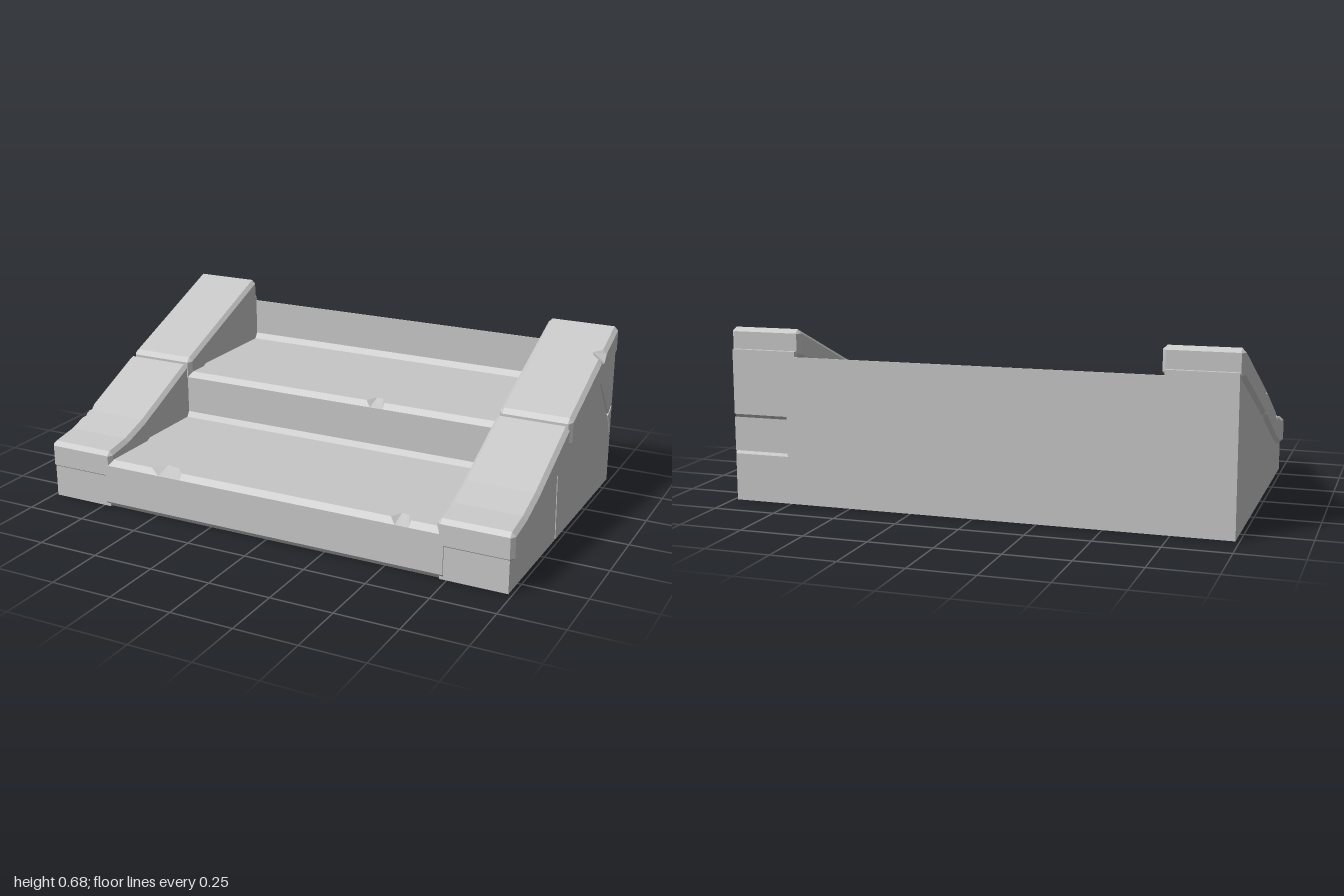
import * as THREE from 'three';

const stone = new THREE.MeshStandardMaterial({ color: 0xc6c6c6 });
stone.name = 'greyStone';

function addMesh(parent, name, geometry) {
  const mesh = new THREE.Mesh(geometry, stone);
  mesh.name = name;
  parent.add(mesh);
  return mesh;
}

// Skin counter-clockwise [u, v] rings placed at rising w, closing both ends.
function loft(sections) {
  const pos = [];
  const put = (s, i) => pos.push(s.ring[i][0], s.ring[i][1], s.w);
  const n = sections[0].ring.length;
  for (let k = 0; k < sections.length - 1; k++) {
    const a = sections[k], b = sections[k + 1];
    for (let i = 0; i < n; i++) {
      const j = (i + 1) % n;
      put(a, i); put(a, j); put(b, j);
      put(a, i); put(b, j); put(b, i);
    }
  }
  const first = sections[0], last = sections[sections.length - 1];
  for (const [s, flip] of [[first, true], [last, false]]) {
    const contour = s.ring.map(([u, v]) => new THREE.Vector2(u, v));
    for (const [a, b, c] of THREE.ShapeUtils.triangulateShape(contour, [])) {
      put(s, a); put(s, flip ? c : b); put(s, flip ? b : c);
    }
  }
  const geo = new THREE.BufferGeometry();
  geo.setAttribute('position', new THREE.Float32BufferAttribute(pos, 3));
  geo.computeVertexNormals();
  return geo;
}

// Side outline of [z, y] points extruded across x.
function sidePlate(points, x0, x1) {
  const shape = new THREE.Shape(points.map(([z, y]) => new THREE.Vector2(-z, y)));
  const geo = new THREE.ExtrudeGeometry(shape, { depth: x1 - x0, bevelEnabled: false });
  return geo.rotateY(Math.PI / 2).translate(x0, 0, 0);
}

// Stair cross-section; d1 and d2 widen the worn lips of the lower and upper step.
const stairRing = (d1, d2) => [
  [-0.585, 0], [0.6, 0], [0.6, 0.58], [0.597, 0.58], [0.597, 0.424], [0.58, 0.4],
  [0.02 + d2, 0.4], [0, 0.378], [0, 0.222], [-0.015, 0.2],
  [-0.58 + d1, 0.2], [-0.6, 0.178], [-0.6, 0.02],
];

function stairGeometry() {
  const sections = [{ w: -0.735, ring: stairRing(0, 0) }];
  const chips = [[-0.52, -0.38, 0.05, 0], [0.13, 0.21, 0, 0.05], [0.52, 0.6, 0.045, 0]];
  for (const [a, b, d1, d2] of chips) {
    const edge = (b - a) * 0.3;
    sections.push(
      { w: a, ring: stairRing(0, 0) },
      { w: a + edge, ring: stairRing(d1, d2) },
      { w: b - edge, ring: stairRing(d1 * 0.85, d2 * 0.85) },
      { w: b, ring: stairRing(0, 0) },
    );
  }
  sections.push({ w: 0.735, ring: stairRing(0, 0) });
  return loft(sections).rotateY(Math.PI / 2);
}

// Chamfered coping section between yb and yt; chip bites the outer top edge.
function copingRing(side, yb, yt, inset, chip) {
  const c = inset ? 0.002 : 0.016;
  const i = inset ? 0.014 : 0;
  const xa = (side > 0 ? 0.705 : -1) + i;
  const xb = (side > 0 ? 1 : -0.705) - i;
  const l = side < 0 ? chip : 0, r = side > 0 ? chip : 0;
  return [
    [xa + c, yb], [xb - c, yb], [xb, yb + c], [xb, yt - c - r * 0.6],
    [xb - c - r, yt], [xa + c + l, yt], [xa, yt - c - l * 0.6], [xa, yb + c],
  ];
}

// Stations are [z, bottom, top, inset]; chip is [zStart, zEnd, depth].
function copingGeometry(side, stations, chip) {
  const list = stations.map((s) => [...s, 0]);
  if (chip) {
    const [z0, z1, depth] = chip;
    for (const [t, d] of [[0, 0], [0.35, depth], [0.65, depth * 0.7], [1, 0]]) {
      const z = z0 + (z1 - z0) * t;
      const k = stations.findIndex((s, i) => i > 0 && s[0] >= z);
      const a = stations[k - 1], b = stations[k];
      const f = (z - a[0]) / (b[0] - a[0]);
      list.push([z, a[1] + (b[1] - a[1]) * f, a[2] + (b[2] - a[2]) * f, 0, d]);
    }
    list.sort((a, b) => a[0] - b[0]);
  }
  return loft(list.map(([z, yb, yt, inset, d]) => (
    { w: z, ring: copingRing(side, yb, yt, inset, d) })));
}

const upperCoping = [
  [-0.58, 0.588, 0.668, 1], [-0.563, 0.571, 0.684, 0],
  [-0.018, 0.348, 0.462, 0], [0, 0.36, 0.443, 1],
];
const lowerCoping = [
  [0.01, 0.35, 0.425, 1], [0.027, 0.327, 0.443, 0], [0.352, 0.18, 0.295, 0],
  [0.476, 0.135, 0.253, 0], [0.583, 0.12, 0.235, 0], [0.6, 0.135, 0.218, 1],
];

const wallTop = [[-0.6, 0.6], [-0.56, 0.6], [0, 0.375], [0.352, 0.2], [0.476, 0.16], [0.595, 0.145]];
const wallOutline = [[0.595, 0], [-0.6, 0], ...wallTop];

// Cracked left wall: blocks separated by narrow gaps.
const crackedBlocks = [
  [[0.595, 0], [0.088, 0], [0.107, 0.322], [0.352, 0.2], [0.476, 0.16], [0.595, 0.145]],
  [[0.078, 0], [-0.6, 0], [-0.6, 0.187], [-0.546, 0.296], [-0.372, 0.52], [0, 0.375], [0.097, 0.327]],
  [[-0.383, 0.528], [-0.554, 0.31], [-0.6, 0.345], [-0.6, 0.6], [-0.56, 0.6]],
  [[-0.6, 0.2], [-0.6, 0.334], [-0.556, 0.301]],
];

export function createModel() {
  const model = new THREE.Group();
  model.name = 'stoneStairs';

  addMesh(model, 'steps', stairGeometry());

  // Side walls
  addMesh(model, 'rightWall', sidePlate(wallOutline, -0.985, -0.72));
  const leftWall = new THREE.Group();
  leftWall.name = 'leftWall';
  model.add(leftWall);
  addMesh(leftWall, 'leftWallCore', sidePlate(wallOutline, 0.72, 0.76));
  crackedBlocks.forEach((block, i) => {
    addMesh(leftWall, `crackedBlock${i + 1}`, sidePlate(block, 0.76, 0.985));
  });

  // Sloped coping stones on both walls
  for (const [side, label] of [[1, 'left'], [-1, 'right']]) {
    addMesh(model, `${label}UpperCoping`,
      copingGeometry(side, upperCoping, side > 0 ? [-0.415, -0.355, 0.035] : null));
    addMesh(model, `${label}LowerCoping`,
      copingGeometry(side, lowerCoping, side < 0 ? [0.3, 0.4, 0.035] : null));
  }
  return model;
}
